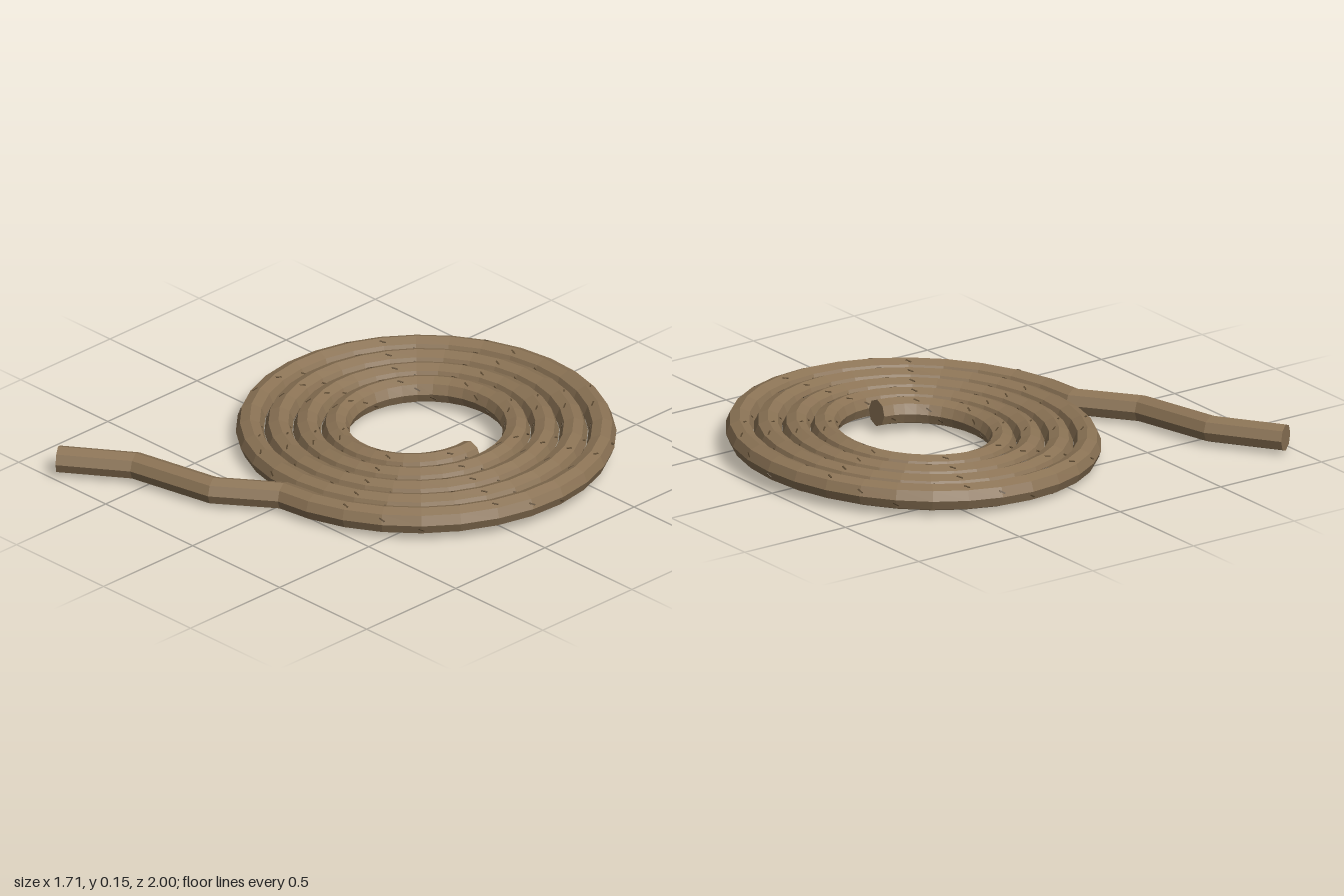
import * as THREE from 'three';
import { mergeGeometries } from 'three/addons/utils/BufferGeometryUtils.js';

const R = 0.056, SIDES = 8, STEPS = 32, TURNS = 4.25;
const UP = new THREE.Vector3(0, 1, 0);

// Centre line: flat, slightly oval spiral that tilts a little, then a loose tail
function ropePath() {
  const pts = [];
  for (let i = 0; i <= TURNS * STEPS; i++) {
    const t = i / STEPS, a = t * Math.PI * 2, c = Math.cos(a), s = Math.sin(a);
    pts.push(new THREE.Vector3(0.028 + (0.3 + 0.118 * t) * c, 0.075 + 0.0125 * (c - s), -0.242 + (0.282 + 0.1123 * t) * s));
  }
  for (const [x, y, z] of [[-0.2, 0.063, 0.69], [-0.565, 0.066, 0.768], [-0.825, 0.065, 0.95]])
    pts.push(new THREE.Vector3(x, y, z));
  return pts;
}

// Tangent, sideways and upward directions at each path point, with a miter widening
function frames(pts) {
  return pts.map((p, i) => {
    const before = p.clone().sub(pts[Math.max(i - 1, 0)]).normalize();
    const after = pts[Math.min(i + 1, pts.length - 1)].clone().sub(p).normalize();
    const tangent = before.clone().add(after).normalize();
    const side = tangent.clone().cross(UP).normalize();
    const up = side.clone().cross(tangent);
    const miter = 1 / Math.max(tangent.dot(before), tangent.dot(after));
    return { p, tangent, side, up, miter };
  });
}

function ropeGeometry(fr) {
  const pos = [], idx = [];
  for (const f of fr)
    for (let k = 0; k < SIDES; k++) {
      const a = (k / SIDES) * Math.PI * 2;
      const v = f.p.clone().addScaledVector(f.side, R * f.miter * Math.cos(a)).addScaledVector(f.up, R * Math.sin(a));
      pos.push(v.x, v.y, v.z);
    }
  const last = fr.length - 1, c0 = fr.length * SIDES;
  pos.push(...fr[0].p.toArray(), ...fr[last].p.toArray());
  for (let k = 0; k < SIDES; k++) {
    const n = (k + 1) % SIDES;
    for (let i = 0; i < last; i++) {
      const a = i * SIDES, b = a + SIDES;
      idx.push(a + k, b + k, a + n, a + n, b + k, b + n);
    }
    idx.push(c0, k, n, c0 + 1, last * SIDES + n, last * SIDES + k); // end caps
  }
  const g = new THREE.BufferGeometry();
  g.setAttribute('position', new THREE.Float32BufferAttribute(pos, 3));
  g.setIndex(idx);
  const flat = g.toNonIndexed();
  flat.computeVertexNormals();
  return flat;
}

// Short slanted fibre marks lying on the facets of the coil
function fibreGeometry(fr) {
  const marks = [], m = new THREE.Matrix4();
  for (let i = 1; i < TURNS * STEPS - 1; i++)
    for (let j = 0; j < 2; j++) {
      const f = fr[i], k = (i * 3 + j * 4) % SIDES;
      const a = ((k + 0.5) / SIDES) * Math.PI * 2;
      const out = f.side.clone().multiplyScalar(Math.cos(a)).addScaledVector(f.up, Math.sin(a));
      const around = out.clone().cross(f.tangent);
      const along = f.tangent.clone().addScaledVector(around, -0.6).normalize();
      const across = along.clone().cross(out);
      m.makeBasis(along, out, across);
      m.setPosition(f.p.clone().addScaledVector(out, R * Math.cos(Math.PI / SIDES)));
      marks.push(new THREE.BoxGeometry(0.026, 0.004, 0.006).applyMatrix4(m));
    }
  return mergeGeometries(marks);
}

export function createModel() {
  const rope = new THREE.MeshStandardMaterial({ color: 0x8b7355 });
  rope.name = 'ropeTan';
  const dark = new THREE.MeshStandardMaterial({ color: 0x5c4a32 });
  dark.name = 'fibreBrown';

  const group = new THREE.Group();
  group.name = 'coiledRope';
  const fr = frames(ropePath());
  const coil = new THREE.Mesh(ropeGeometry(fr), rope);
  coil.name = 'ropeCoil';
  const fibres = new THREE.Mesh(fibreGeometry(fr), dark);
  fibres.name = 'fibreMarks';
  group.add(coil, fibres);
  return group;
}
